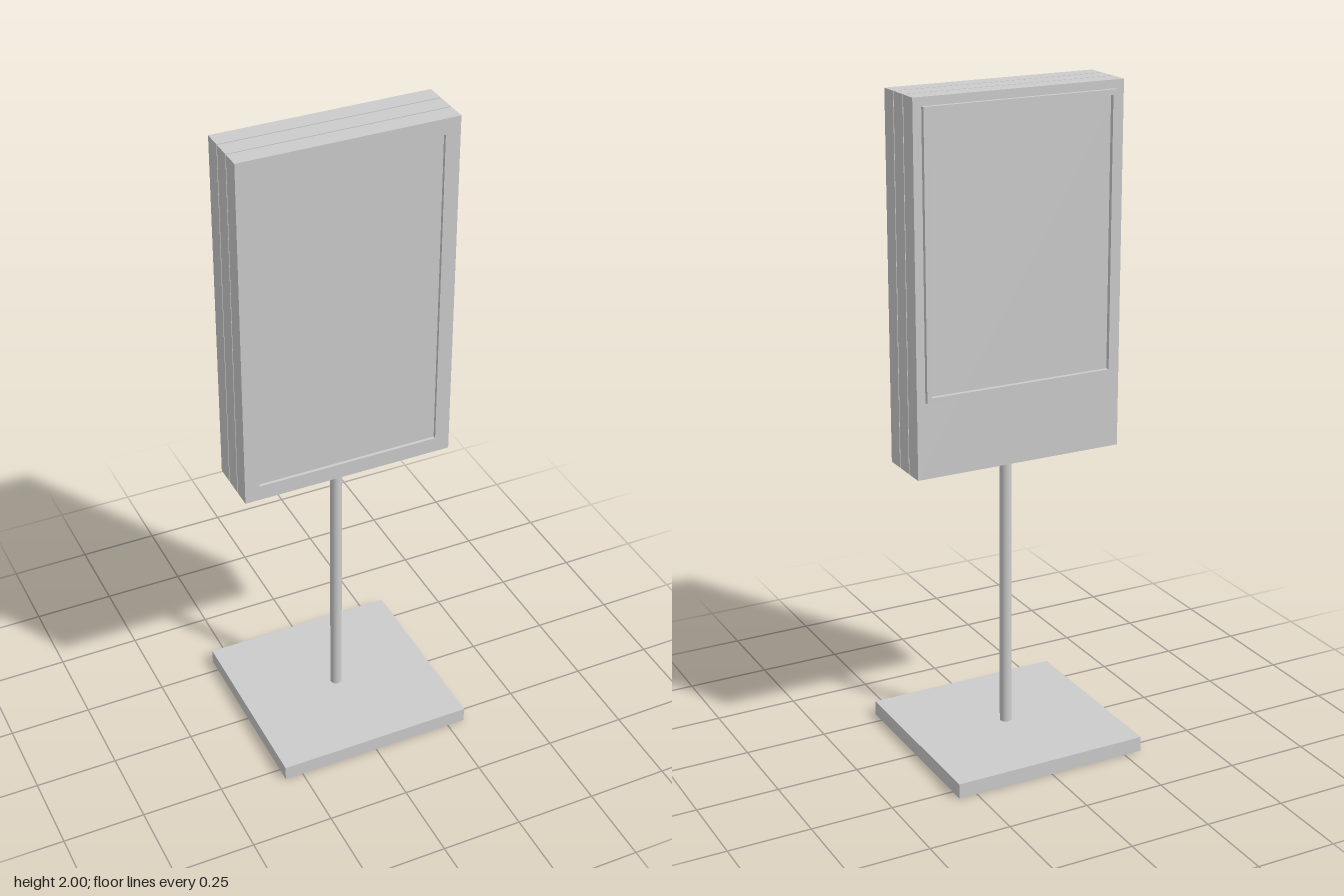
import * as THREE from 'three';

const material = new THREE.MeshStandardMaterial({ color: 0xcccccc });

function add(parent, name, geometry, x, y, z) {
  const mesh = new THREE.Mesh(geometry, material);
  mesh.name = name;
  mesh.position.set(x, y, z);
  parent.add(mesh);
  return mesh;
}

// Box given by its width and its y and z limits, centred on x
function slab(parent, name, w, y0, y1, z0, z1) {
  return add(parent, name, new THREE.BoxGeometry(w, y1 - y0, z1 - z0), 0, (y0 + y1) / 2, (z0 + z1) / 2);
}

// Rectangular frame with an open middle, extruded towards +z
function frame(parent, name, w, y0, y1, z0, z1, sideBorder, endBorder) {
  const h = w / 2, i = h - sideBorder, a = y0 + endBorder, b = y1 - endBorder;
  const shape = new THREE.Shape([[-h, y0], [h, y0], [h, y1], [-h, y1]].map(p => new THREE.Vector2(...p)));
  shape.holes.push(new THREE.Path([[-i, a], [-i, b], [i, b], [i, a]].map(p => new THREE.Vector2(...p))));
  const geometry = new THREE.ExtrudeGeometry(shape, { depth: z1 - z0, bevelEnabled: false });
  return add(parent, name, geometry, 0, 0, z0);
}

export function createModel() {
  const model = new THREE.Group();
  model.name = 'displayStand';

  // Base plate and pole
  slab(model, 'basePlate', 0.612, 0, 0.046, -0.294, 0.294);
  add(model, 'pole', new THREE.CylinderGeometry(0.018, 0.018, 0.88, 24), 0, 0.48, 0);

  // Cabinet: three layers around a slightly smaller core, leaving two thin grooves
  const cabinet = new THREE.Group();
  cabinet.name = 'cabinet';
  model.add(cabinet);
  const w = 0.652, y0 = 0.917, y1 = 2, inset = 0.004;
  slab(cabinet, 'core', w - 2 * inset, y0 + inset, y1 - inset, -0.06, 0.06);
  slab(cabinet, 'backLayer', w, y0, y1, -0.089, -0.032);
  slab(cabinet, 'middleLayer', w, y0, y1, -0.028, 0.028);
  slab(cabinet, 'frontLayer', w, y0, y1, 0.032, 0.078);

  // Front border around the recessed screen
  frame(cabinet, 'screenBorder', w, y0, y1, 0.078, 0.088, 0.045, 0.047);

  // Raised poster frame on the back
  frame(cabinet, 'posterFrame', 0.6, 1.145, 1.975, -0.102, -0.089, 0.015, 0.015);

  return model;
}
